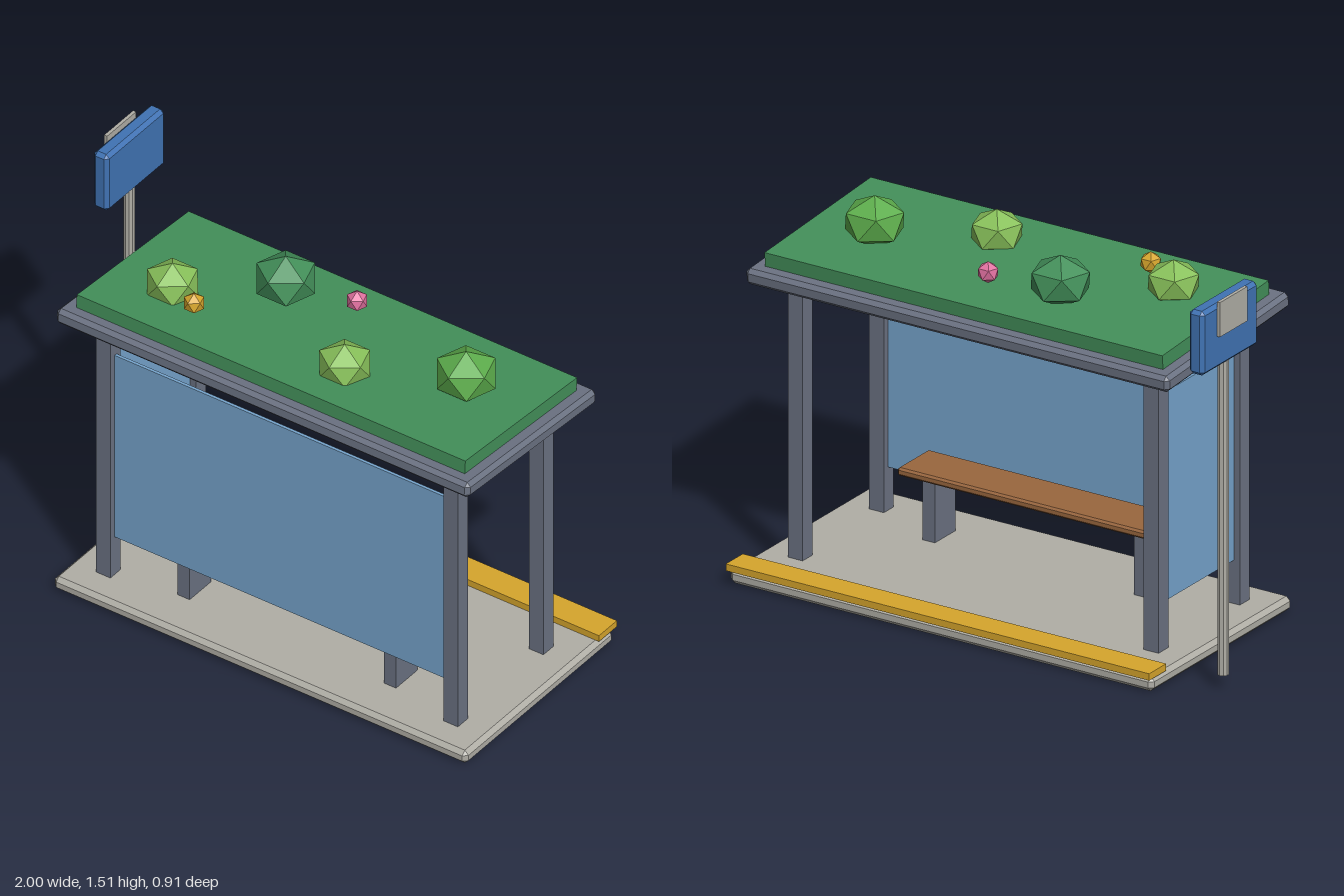
import * as THREE from 'three';
import { ConvexGeometry } from 'three/addons/geometries/ConvexGeometry.js';

const mat = (name, color) => Object.assign(new THREE.MeshStandardMaterial({ color, flatShading: true }), { name });

// Box with chamfered edges, as the hull of three crossed boxes.
function chamferBox(w, h, d, c) {
  const pts = [];
  for (const x of [-w / 2, w / 2]) for (const y of [-h / 2, h / 2]) for (const z of [-d / 2, d / 2]) {
    const ix = x - Math.sign(x) * c, iy = y - Math.sign(y) * c, iz = z - Math.sign(z) * c;
    pts.push(new THREE.Vector3(x, iy, iz), new THREE.Vector3(ix, y, iz), new THREE.Vector3(ix, iy, z));
  }
  return new ConvexGeometry(pts);
}

export function createModel() {
  const concrete = mat('concrete', 0xb0aea6);
  const yellow = mat('yellow', 0xd6a52c);
  const steel = mat('steel', 0x6b7282);
  const glass = mat('glass', 0x76a4cc);
  const grass = mat('grass', 0x43905a);
  const wood = mat('wood', 0x9a673e);
  const blue = mat('signBlue', 0x4073b4);
  const lightLeaf = mat('lightLeaf', 0x88c05a);
  const midLeaf = mat('midLeaf', 0x5dad4c);
  const pink = mat('pink', 0xe0709f);

  const model = new THREE.Group();
  const add = (name, geometry, material, x, y, z, parent = model) => {
    const mesh = new THREE.Mesh(geometry, material);
    mesh.name = name;
    mesh.position.set(x, y, z);
    parent.add(mesh);
    return mesh;
  };
  // Box given by its bounds; a chamfer is optional.
  const block = (name, material, [x0, x1], [y0, y1], [z0, z1], chamfer = 0) => {
    const size = [x1 - x0, y1 - y0, z1 - z0];
    const geo = chamfer ? chamferBox(...size, chamfer) : new THREE.BoxGeometry(...size);
    return add(name, geo, material, (x0 + x1) / 2, (y0 + y1) / 2, (z0 + z1) / 2);
  };

  // Ground slab and kerb strip
  block('baseSlab', concrete, [-0.775, 1], [0, 0.055], [-0.437, 0.455], 0.016);
  block('kerbStrip', yellow, [-0.775, 1], [0.055, 0.081], [-0.455, -0.347]);

  // Corner posts reach into the sloping roof
  for (const x of [-0.637, 0.855]) {
    block('frontPost', steel, [x - 0.031, x + 0.031], [0.055, 1.155], [0.281, 0.343]);
    block('backPost', steel, [x - 0.031, x + 0.031], [0.055, 1.122], [-0.234, -0.172]);
  }

  // Glass panels
  block('longGlass', glass, [-0.606, 0.824], [0.22, 1.014], [0.306, 0.318]);
  block('endGlass', glass, [-0.643, -0.631], [0.22, 1.014], [-0.172, 0.281]);

  // Bench
  block('benchSeat', wood, [-0.42, 0.64], [0.309, 0.34], [0.084, 0.283], 0.008);
  for (const x of [-0.333, 0.553]) {
    block('benchLeg', steel, [x - 0.026, x + 0.026], [0.055, 0.31], [0.155, 0.285]);
  }

  // Sloping roof with its planted bed
  const roof = new THREE.Group();
  roof.name = 'roof';
  roof.position.set(0.111, 1.159, 0.05);
  roof.rotation.x = -0.07;
  model.add(roof);
  add('roofSlab', chamferBox(1.774, 0.062, 0.782, 0.015), steel, 0, 0, 0, roof);
  add('grassBed', new THREE.BoxGeometry(1.668, 0.055, 0.675), grass, 0, 0.057, 0, roof);

  // Faceted bushes and flowers, one corner pointing up
  const ball = new THREE.IcosahedronGeometry(1, 0).rotateX(-Math.atan2((1 + Math.sqrt(5)) / 2, 1));
  const plants = [
    ['bush', lightLeaf, -0.477, 1.287, 0.15, 0.104, 0.8],
    ['bush', grass, -0.158, 1.3, -0.085, 0.12, 0.8],
    ['bush', lightLeaf, 0.287, 1.287, 0.185, 0.104, 0.8],
    ['bush', midLeaf, 0.677, 1.3, 0, 0.12, 0.8],
    ['flower', yellow, -0.335, 1.302, 0.22, 0.041, 1],
    ['flower', pink, 0.11, 1.287, -0.138, 0.041, 1],
  ];
  for (const [name, material, x, y, z, r, squash] of plants) {
    add(name, ball, material, x, y, z).scale.set(r, r * squash, r);
  }

  // Stop sign on its pole
  add('signPole', new THREE.CylinderGeometry(0.021, 0.021, 1.25, 10), concrete, -0.957, 0.68, -0.262);
  block('signBoard', blue, [-0.988, -0.924], [1.25, 1.494], [-0.436, -0.083], 0.014);
  block('signPlate', concrete, [-1, -0.987], [1.375, 1.506], [-0.347, -0.172]);

  return model;
}
